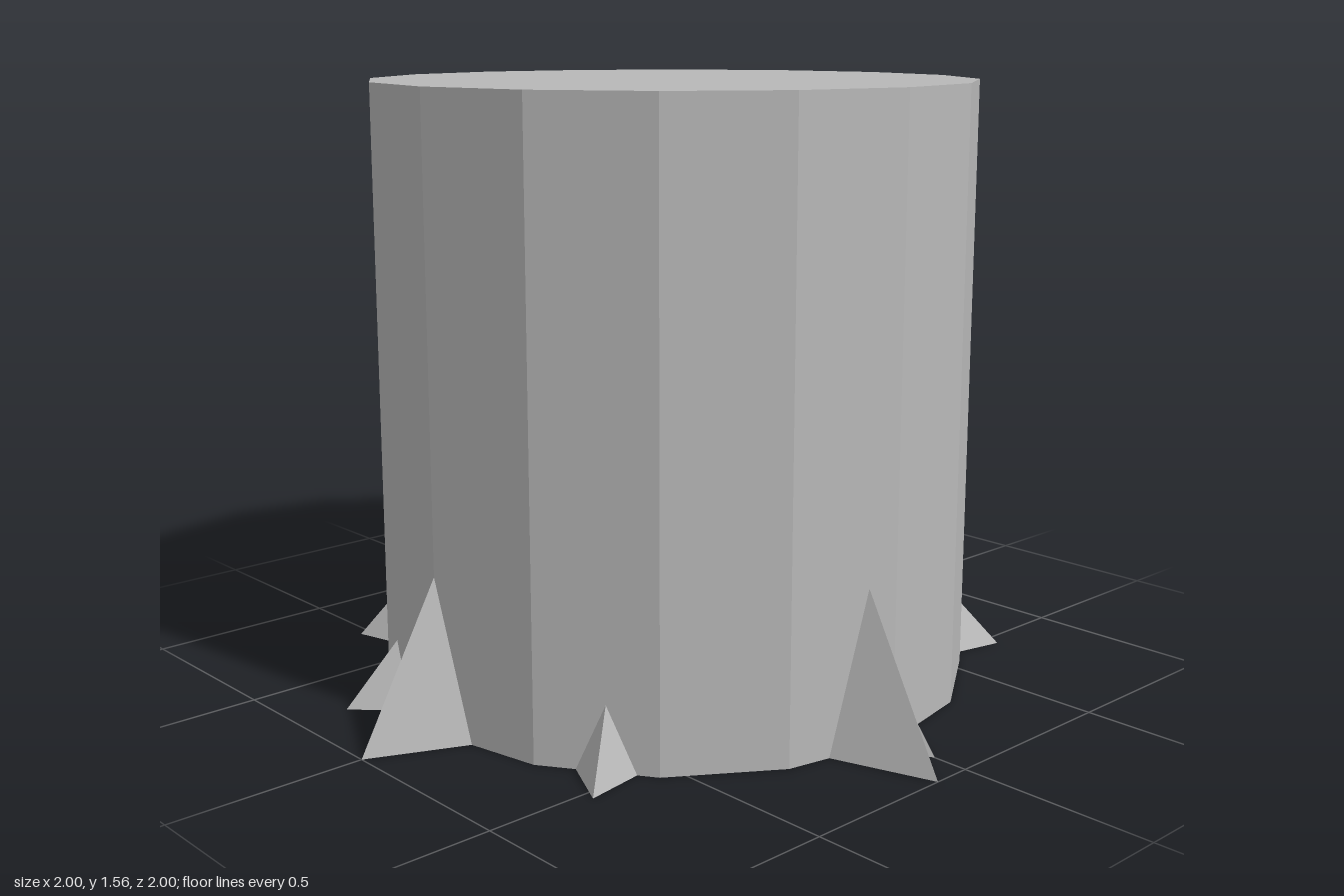
import * as THREE from 'three';

const SIDES = 16, RADIUS = 0.78, HEIGHT = 1.56;

// Point on the faceted trunk wall at a given angle and height
function wallPoint(angle, y) {
  const step = (2 * Math.PI) / SIDES;
  const local = ((angle % step) + step) % step;
  const r = (RADIUS * Math.cos(step / 2)) / Math.cos(local - step / 2);
  return [Math.sin(angle) * r, y, Math.cos(angle) * r];
}

// Root: a three-sided fin rising from a tip on the ground to the wall
function rootGeometry([ax, az], [tx, tz], halfWidth, height) {
  const angle = Math.atan2(ax, az), spread = halfWidth / RADIUS;
  const A = wallPoint(angle, height);
  const L = wallPoint(angle - spread, 0);
  const R = wallPoint(angle + spread, 0);
  const T = [tx, 0, tz];
  const geo = new THREE.BufferGeometry();
  const faces = [A, L, T, A, T, R, L, R, T, A, R, L];
  geo.setAttribute('position', new THREE.Float32BufferAttribute(faces.flat(), 3));
  geo.computeVertexNormals();
  return geo;
}

export function createModel() {
  const group = new THREE.Group();
  group.name = 'stump';
  const grey = new THREE.MeshStandardMaterial({ color: 0xb8b8b8, flatShading: true });
  grey.name = 'grey';

  // Trunk
  const trunk = new THREE.Mesh(new THREE.CylinderGeometry(RADIUS, RADIUS, HEIGHT, SIDES), grey);
  trunk.name = 'trunk';
  trunk.position.y = HEIGHT / 2;
  group.add(trunk);

  // Roots: [point on wall (x, z), tip on ground (x, z)]
  const largeRoots = [
    [[0, 0.78], [0, 1]],
    [[0.055, -0.78], [0.065, -1]],
    [[-0.78, -0.03], [-1, -0.035]],
    [[0.77, 0.08], [1, 0.1]],
  ];
  const smallRoots = [
    [[-0.24, 0.735], [-0.285, 0.86]],
    [[-0.63, 0.43], [-0.73, 0.53]],
    [[-0.745, 0.225], [-0.865, 0.275]],
    [[-0.745, -0.225], [-0.865, -0.285]],
    [[-0.63, -0.43], [-0.73, -0.54]],
    [[-0.24, -0.735], [-0.28, -0.865]],
    [[0.45, -0.63], [0.54, -0.735]],
    [[0.78, 0], [0.91, 0]],
    [[0.45, 0.63], [0.53, 0.735]],
  ];
  const addRoots = (list, name, halfWidth, height) => list.forEach(([wall, tip], i) => {
    const root = new THREE.Mesh(rootGeometry(wall, tip, halfWidth, height), grey);
    root.name = name + (i + 1);
    group.add(root);
  });
  addRoots(largeRoots, 'largeRoot', 0.11, 0.4);
  addRoots(smallRoots, 'smallRoot', 0.075, 0.165);

  return group;
}
